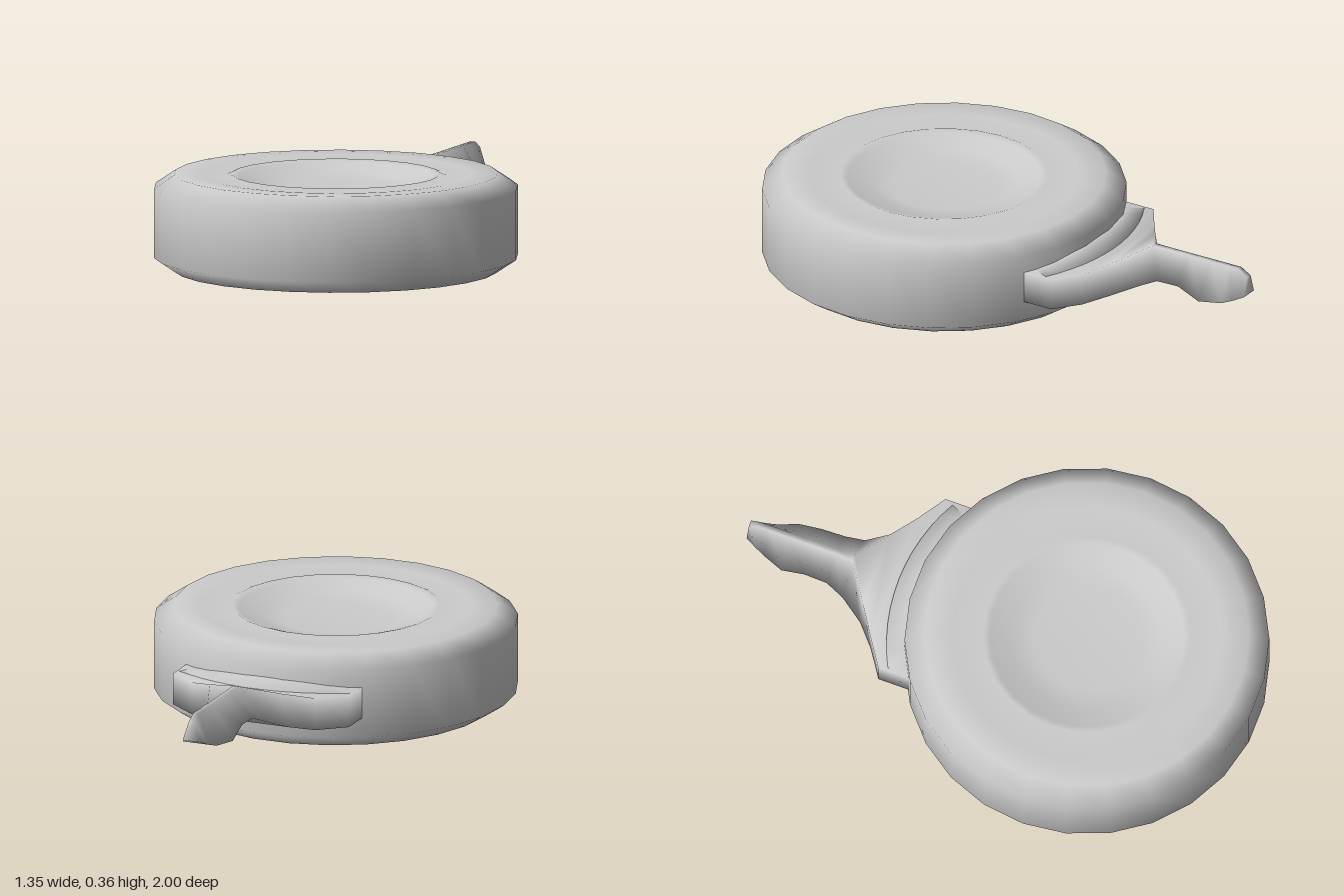
import * as THREE from 'three';

const material = new THREE.MeshStandardMaterial({ color: 0xcccccc, side: THREE.DoubleSide });
const DISC_Z = 0.331;
const DISC_SIDES = 26;

function addMesh(group, name, geometry) {
  const mesh = new THREE.Mesh(geometry, material);
  mesh.name = name;
  group.add(mesh);
  return mesh;
}

const profile = (pairs) => pairs.map(([r, y]) => new THREE.Vector2(r, y));

// Joins four-cornered sections [z, bottom half-width, top half-width, bottom y, top y]
function loftSections(sections) {
  const positions = [], index = [];
  for (const [z, w, t, bottom, top] of sections) {
    positions.push(-t, top, z, t, top, z, w, bottom, z, -w, bottom, z);
  }
  for (let i = 0; i < sections.length - 1; i++) {
    for (let j = 0; j < 4; j++) {
      const a = i * 4 + j, b = i * 4 + (j + 1) % 4;
      index.push(a, b, b + 4, a, b + 4, a + 4);
    }
  }
  const e = (sections.length - 1) * 4;
  index.push(e, e + 1, e + 2, e, e + 2, e + 3);
  const geometry = new THREE.BufferGeometry();
  geometry.setAttribute('position', new THREE.Float32BufferAttribute(positions, 3));
  geometry.setIndex(index);
  geometry.computeVertexNormals();
  return geometry;
}

export function createModel() {
  const group = new THREE.Group();

  // Hollow disc: inner bowl, bottom rim, bevelled wall, and a dish with a raised lip
  const disc = addMesh(group, 'disc', new THREE.LatheGeometry(profile([
    [0, 0.18], [0.34, 0.18], [0.45, 0.145], [0.52, 0.075], [0.545, 0.01],
    [0.6, 0], [0.675, 0.05], [0.675, 0.31], [0.6, 0.36],
    [0.5, 0.357], [0.41, 0.348], [0.385, 0.358], [0.36, 0.35],
    [0.28, 0.322], [0.2, 0.306], [0, 0.306],
  ]), DISC_SIDES, Math.PI / DISC_SIDES));
  disc.position.z = DISC_Z;

  // Curved collar hugging the back of the disc, thinning towards its ends
  const spread = 0.48;
  const collar = new THREE.LatheGeometry(profile([
    [0.65, 0.095], [0.675, 0.095], [0.742, 0.115], [0.742, 0.25], [0.675, 0.27], [0.65, 0.27],
  ]), 12, Math.PI - spread, spread * 2);
  const pos = collar.attributes.position;
  for (let i = 0; i < pos.count; i++) {
    const angle = Math.atan2(pos.getX(i), -pos.getZ(i));
    const limit = 0.063 + 0.0245 * Math.cos((angle / spread) * Math.PI / 2);
    pos.setY(i, 0.1825 + THREE.MathUtils.clamp(pos.getY(i) - 0.1825, -limit, limit));
  }
  collar.computeVertexNormals();
  addMesh(group, 'collar', collar).position.z = DISC_Z;

  // Bracket flowing into a ridged thumb tab
  addMesh(group, 'handle', loftSections([
    [-0.2, 0.355, 0.355, 0.125, 0.245],
    [-0.36, 0.355, 0.355, 0.125, 0.245],
    [-0.43, 0.25, 0.25, 0.12, 0.243],
    [-0.50, 0.175, 0.145, 0.142, 0.268],
    [-0.59, 0.12, 0.012, 0.182, 0.305],
    [-0.66, 0.098, 0.01, 0.213, 0.305],
    [-0.75, 0.095, 0.01, 0.213, 0.305],
    [-0.84, 0.097, 0.01, 0.176, 0.305],
    [-0.92, 0.066, 0.01, 0.176, 0.305],
    [-0.96, 0.051, 0.01, 0.19, 0.305],
    [-1.0, 0.035, 0.012, 0.208, 0.28],
  ]));

  return group;
}
